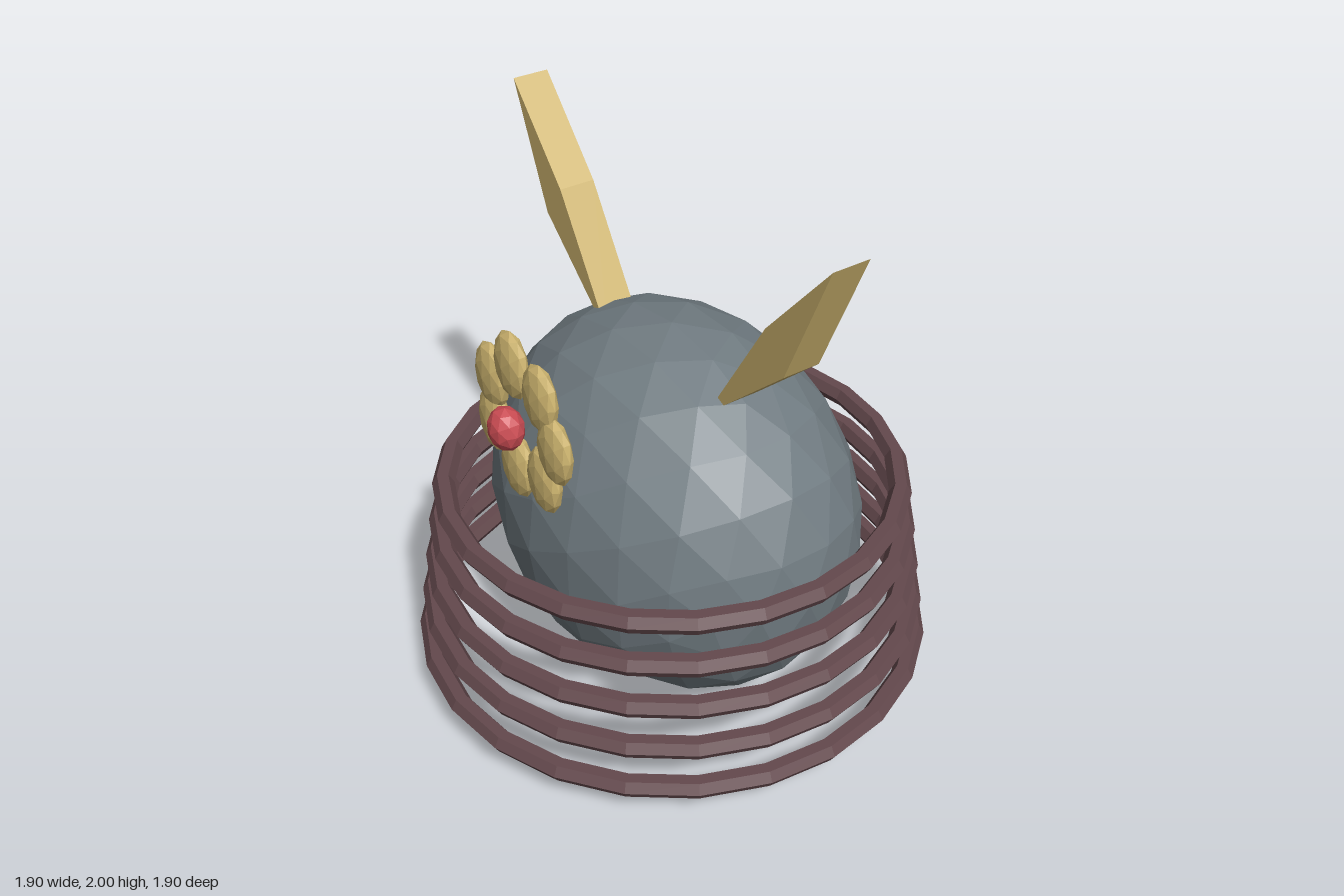
import * as THREE from 'three';

const paint = (name, color) => {
  const m = new THREE.MeshStandardMaterial({ color, flatShading: true });
  m.name = name;
  return m;
};

export function createModel() {
  const slate = paint('slate grey', 0x717c82);
  const brown = paint('dark brown', 0x64494d);
  const straw = paint('straw yellow', 0xcdb46f);
  const red = paint('red', 0xcb4c53);

  const model = new THREE.Group();
  const add = (name, geometry, material, x = 0, y = 0, z = 0) => {
    const mesh = new THREE.Mesh(geometry, material);
    mesh.name = name;
    mesh.position.set(x, y, z);
    model.add(mesh);
    return mesh;
  };
  // faceted ellipsoid with the given half sizes
  const ellipsoid = (rx, ry, rz, detail) =>
    new THREE.IcosahedronGeometry(1, detail).scale(rx, ry, rz);

  // egg-shaped body
  add('body', ellipsoid(0.775, 0.7, 0.6, 3), slate, 0, 0.705, 0);

  // stack of rings, narrowing upwards
  for (let i = 0; i < 5; i++) {
    const ring = new THREE.TorusGeometry(0.91 - i * 0.025, 0.04, 6, 24).rotateX(Math.PI / 2);
    add('ring' + (i + 1), ring, brown, 0, 0.154 + i * 0.16, 0);
  }

  // diamond-shaped ears, mirrored
  for (const side of [1, -1]) {
    const outline = [[0.29, 1.225], [0.665, 1.56], [0.85, 2], [0.57, 1.685]]
      .map(([x, y]) => new THREE.Vector2(side * x, y));
    const ear = new THREE.ExtrudeGeometry(new THREE.Shape(outline), { depth: 0.136, bevelEnabled: false });
    add(side > 0 ? 'leftEar' : 'rightEar', ear, straw, 0, 0, -0.068);
  }

  // flower of seven upright petals around a red centre
  const petal = ellipsoid(0.09, 0.125, 0.04, 1);
  for (let i = 0; i < 7; i++) {
    const a = (i / 7) * Math.PI * 2;
    add('petal' + (i + 1), petal, straw, 0.2 * Math.cos(a), 1.238 + 0.2 * Math.sin(a), 0.592);
  }
  add('flowerCentre', ellipsoid(0.07, 0.078, 0.06, 1), red, 0, 1.238, 0.652);

  return model;
}
